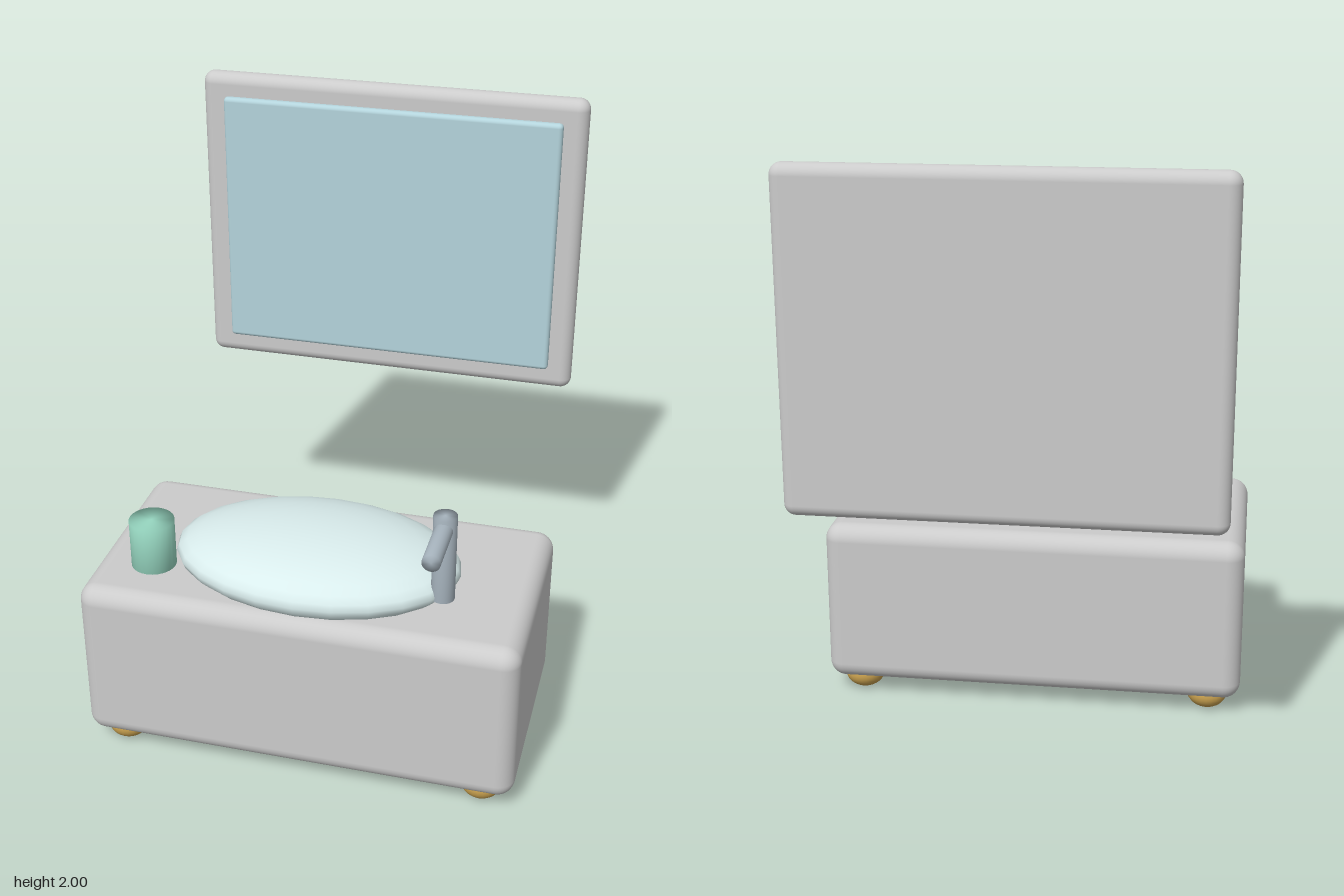
import * as THREE from 'three';
import { RoundedBoxGeometry } from 'three/addons/geometries/RoundedBoxGeometry.js';
import { mergeVertices } from 'three/addons/utils/BufferGeometryUtils.js';

const mat = (color) => new THREE.MeshStandardMaterial({ color });

// Capped cylinder whose shading flows over the rim
function softCylinder(radius, height, sides) {
  const g = new THREE.CylinderGeometry(radius, radius, height, sides);
  g.deleteAttribute('normal');
  g.deleteAttribute('uv');
  const merged = mergeVertices(g, 1e-4);
  merged.computeVertexNormals();
  return merged;
}

export function createModel() {
  const model = new THREE.Group();
  const grey = mat(0xcccccc);
  const steel = mat(0xa9b6c0);
  const brass = mat(0xc9a14f);

  function add(name, geometry, material, x, y, z) {
    const mesh = new THREE.Mesh(geometry, material);
    mesh.name = name;
    mesh.position.set(x, y, z);
    model.add(mesh);
    return mesh;
  }

  // Cabinet on four bun feet
  add('cabinet', new RoundedBoxGeometry(1.476, 0.587, 0.775, 5, 0.06), grey, 0, 0.352, 0.308);
  const footGeometry = new THREE.SphereGeometry(1, 24, 16).scale(0.071, 0.055, 0.071);
  for (const x of [-0.622, 0.622]) {
    for (const z of [0.022, 0.593]) add('foot', footGeometry, brass, x, 0.055, z);
  }

  // Oval basin
  const basin = new THREE.SphereGeometry(1, 24, 16).scale(0.485, 0.116, 0.317);
  add('basin', basin, mat(0xd9ecec), 0, 0.69, 0.362);

  // Faucet
  add('faucetPost', softCylinder(0.039, 0.31, 24), steel, 0.448, 0.832, 0.475);
  const spout = add('faucetSpout', softCylinder(0.03, 0.215, 24), steel, 0.448, 0.946, 0.583);
  spout.rotation.x = Math.PI / 2;

  // Cup
  add('cup', softCylinder(0.076, 0.175, 24), mat(0x98d8c2), -0.54, 0.727, 0.475);

  // Wall mirror
  add('mirrorFrame', new RoundedBoxGeometry(1.38, 1.095, 0.08, 5, 0.039), grey, 0, 1.4525, -0.655);
  add('mirrorGlass', new RoundedBoxGeometry(1.214, 0.932, 0.04, 4, 0.015), mat(0xb4d4dc), 0, 1.454, -0.614);

  return model;
}
